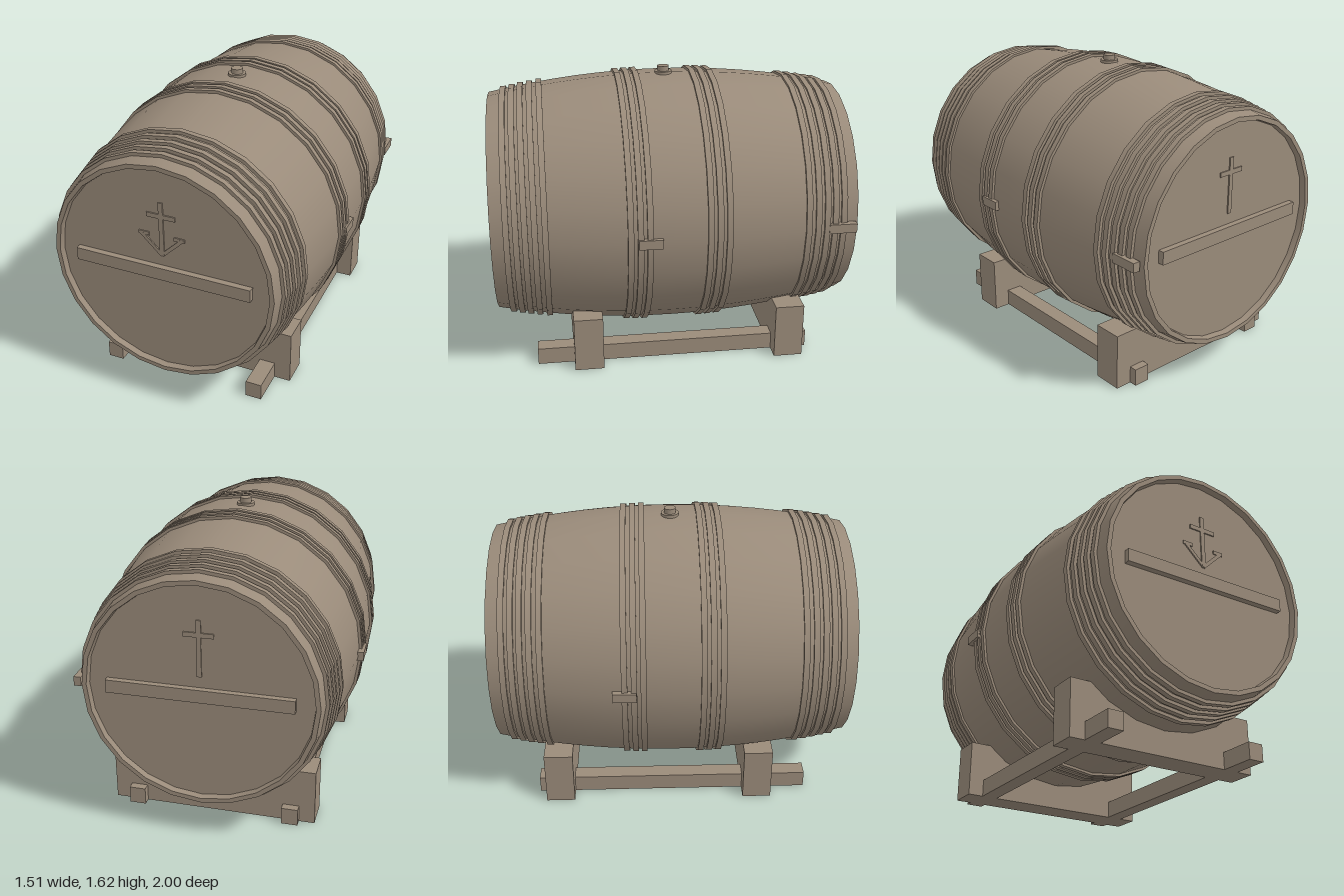
import * as THREE from 'three';
import { toCreasedNormals } from 'three/addons/utils/BufferGeometryUtils.js';

const AXIS_Y = 0.843;   // height of the barrel's axis
const SIDES = 24;
const HEAD_Z = 0.965;   // recessed barrel ends

// Bulging stave radius at distance z from the middle
const staveRadius = (z) => 0.735 - 0.105 * z * z;

export function createModel() {
  const group = new THREE.Group();
  const wood = new THREE.MeshStandardMaterial({ color: 0x9a8b7a });
  wood.name = 'weathered wood';

  const add = (geometry, name, x = 0, y = 0, z = 0, parent = group) => {
    const mesh = new THREE.Mesh(geometry, wood);
    mesh.name = name;
    mesh.position.set(x, y, z);
    parent.add(mesh);
    return mesh;
  };
  const box = (name, w, h, d, x, y, z, parent) =>
    add(new THREE.BoxGeometry(w, h, d), name, x, y, z, parent);
  // Profile of [radius, z] turned around the barrel's axis
  const turned = (profile, name) => {
    const points = profile.map(([r, z]) => new THREE.Vector2(r, z));
    const geometry = new THREE.LatheGeometry(points, SIDES).rotateX(Math.PI / 2);
    return add(toCreasedNormals(geometry, 0.6), name, 0, AXIS_Y, 0);
  };

  // Barrel body with recessed heads
  const profile = [[0, -HEAD_Z], [0.6, -HEAD_Z], [0.605, -1]];
  for (let i = 0; i <= 16; i++) {
    const z = -1 + i / 8;
    profile.push([staveRadius(z), z]);
  }
  profile.push([0.605, 1], [0.6, HEAD_Z], [0, HEAD_Z]);
  turned(profile, 'barrelBody');

  // Hoops: five near each end, three on each side of the middle
  for (const side of [-1, 1]) {
    for (const pos of [0.915, 0.865, 0.817, 0.765, 0.71, 0.265, 0.213, 0.162]) {
      const z = side * pos, h = 0.016, r = staveRadius(z) + 0.015;
      turned([[r - 0.03, z - h], [r, z - h], [r, z + h], [r - 0.03, z + h]], 'hoop');
    }
  }

  // Barrel ends: crossbar and thin carved mark, the front one with hooked arms
  for (const side of [1, -1]) {
    const end = new THREE.Group();
    end.name = side > 0 ? 'frontHead' : 'backHead';
    end.position.set(0, AXIS_Y, side * HEAD_Z);
    if (side < 0) end.rotation.y = Math.PI;
    group.add(end);
    box('headBar', 1, 0.072, 0.034, 0, 0.002, 0.016, end);
    box('markStem', 0.025, 0.31, 0.008, 0, 0.255, 0.003, end);
    box('markArm', 0.16, 0.025, 0.008, 0, 0.33, 0.003, end);
    if (side > 0) {
      for (const s of [-1, 1]) {
        box('markHook', 0.02, 0.17, 0.007, s * 0.06, 0.16, 0.003, end).rotation.z = -s * 0.8;
        box('markBarb', 0.06, 0.02, 0.006, s * 0.1, 0.215, 0.003, end);
      }
    }
  }

  // Small pegs on the sides
  box('sidePeg', 0.05, 0.052, 0.13, 0.728, 0.845, 0.16);
  box('sidePeg', 0.05, 0.052, 0.13, -0.73, 0.845, -0.265);
  box('sidePeg', 0.04, 0.052, 0.155, 0.662, 0.845, -0.905);

  // Bung on top
  add(new THREE.CylinderGeometry(0.05, 0.05, 0.03, SIDES), 'bungCollar', -0.004, 1.573, 0);
  add(new THREE.CylinderGeometry(0.033, 0.033, 0.06, SIDES), 'bung', -0.004, 1.586, 0);

  // Cradle: two chocks with a curved seat
  const seatR = 0.665, half = 0.577, top = 0.32;
  const angle = Math.acos((AXIS_Y - top) / seatR);
  const chock = new THREE.Shape();
  chock.moveTo(-half, 0);
  chock.lineTo(half, 0);
  chock.lineTo(half, top);
  chock.absarc(0, AXIS_Y, seatR, -Math.PI / 2 + angle, -Math.PI / 2 - angle, true);
  chock.lineTo(-half, top);
  const chockGeometry = new THREE.ExtrudeGeometry(chock, { depth: 0.165, bevelEnabled: false, curveSegments: 16 });
  add(chockGeometry, 'frontChock', 0, 0, 0.415);
  add(chockGeometry, 'backChock', 0, 0, -0.745);

  // Rails running through the chocks
  for (const s of [-1, 1]) box('cradleRail', 0.092, 0.098, 1.578, s * 0.44 - 0.003, 0.049, 0);

  return group;
}
